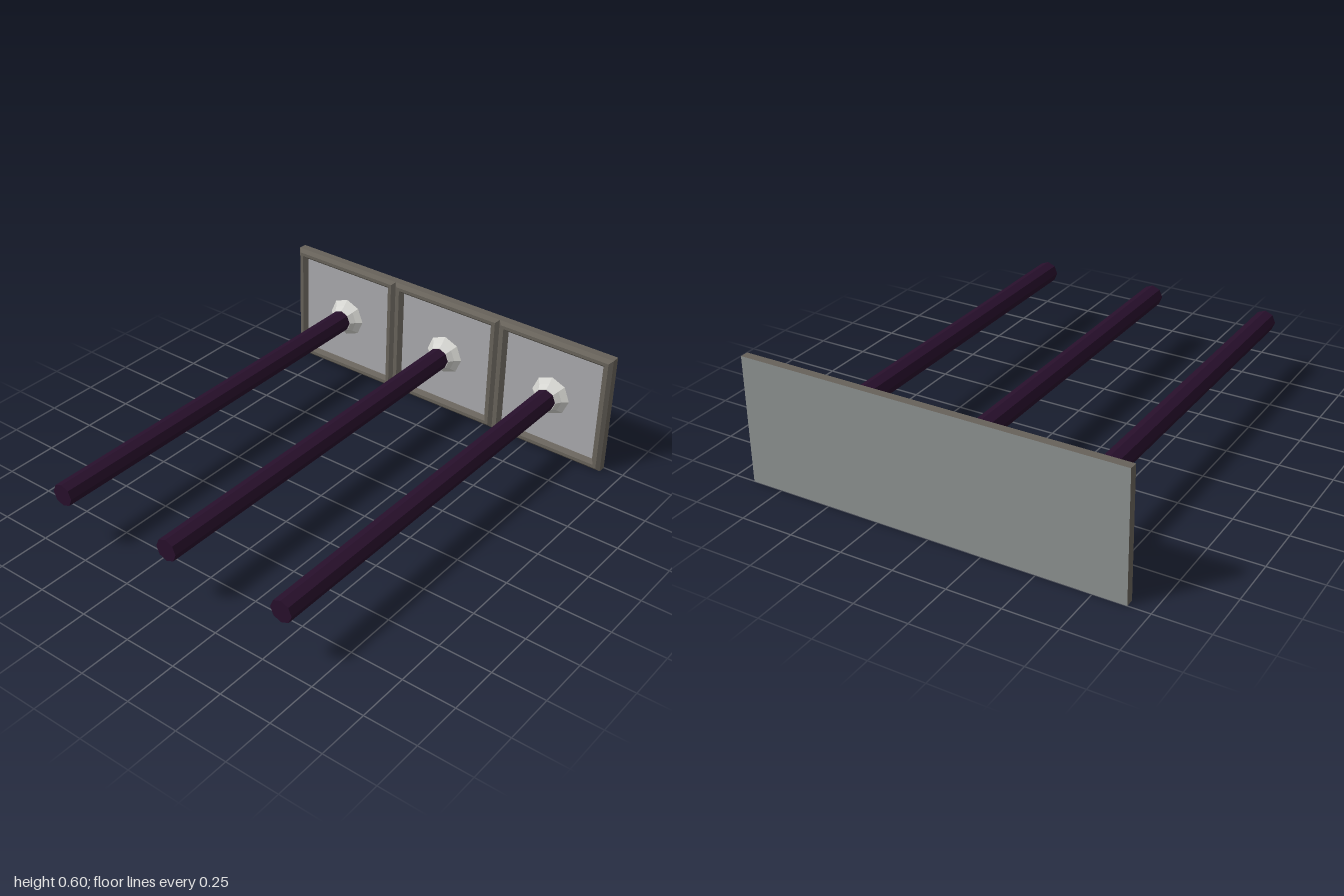
import * as THREE from 'three';

const mat = (name, color, flatShading = true) => {
  const m = new THREE.MeshStandardMaterial({ color, flatShading });
  m.name = name;
  return m;
};

export function createModel() {
  const frameMat = mat('brown grey frame', 0x67625a);
  const backMat = mat('grey back', 0x8d9190);
  const panelMat = mat('light grey panel', 0xa9a9ac);
  const collarMat = mat('pale collar', 0xd4d4d0);
  const rodMat = mat('dark purple rod', 0x270f2b);

  const group = new THREE.Group();
  const add = (parent, name, geometry, material) => {
    const mesh = new THREE.Mesh(geometry, material);
    mesh.name = name;
    parent.add(mesh);
    return mesh;
  };

  // Revolves [radius, x] points about the x axis
  const turned = (points, sides) => {
    const g = new THREE.LatheGeometry(points.map(([r, x]) => new THREE.Vector2(r, -x)), sides);
    return g.rotateZ(Math.PI / 2);
  };

  // Square moulding: four-sided turning of [half width, x] points
  const moulding = (points) =>
    turned(points.map(([h, x]) => [h * Math.SQRT2, x]), 4).rotateX(Math.PI / 4);

  const frameGeo = moulding([
    [0.3, 1], [0.3, 0.961], [0.284, 0.945], [0.268, 0.945], [0.25, 0.967],
  ]);
  const panelGeo = new THREE.PlaneGeometry(0.502, 0.502).rotateY(-Math.PI / 2);
  const backGeo = new THREE.PlaneGeometry(0.6, 0.6).rotateY(Math.PI / 2);
  const collarGeo = turned([[0.1, 0.967], [0.073, 0.944], [0.056, 0.919], [0, 0.919]], 8);
  const rodGeo = new THREE.CylinderGeometry(0.053, 0.053, 1.93, 8).rotateZ(Math.PI / 2);

  // Three identical square tiles, each with a collar and a long rod
  for (const z of [-0.6, 0, 0.6]) {
    const tile = new THREE.Group();
    tile.name = 'rodTile';
    tile.position.set(0, 0.3, z);
    add(tile, 'frame', frameGeo, frameMat);
    add(tile, 'panel', panelGeo, panelMat).position.x = 0.966;
    add(tile, 'backPlate', backGeo, backMat).position.x = 1;
    add(tile, 'collar', collarGeo, collarMat);
    add(tile, 'rod', rodGeo, rodMat).position.x = -0.035;
    group.add(tile);
  }
  return group;
}
